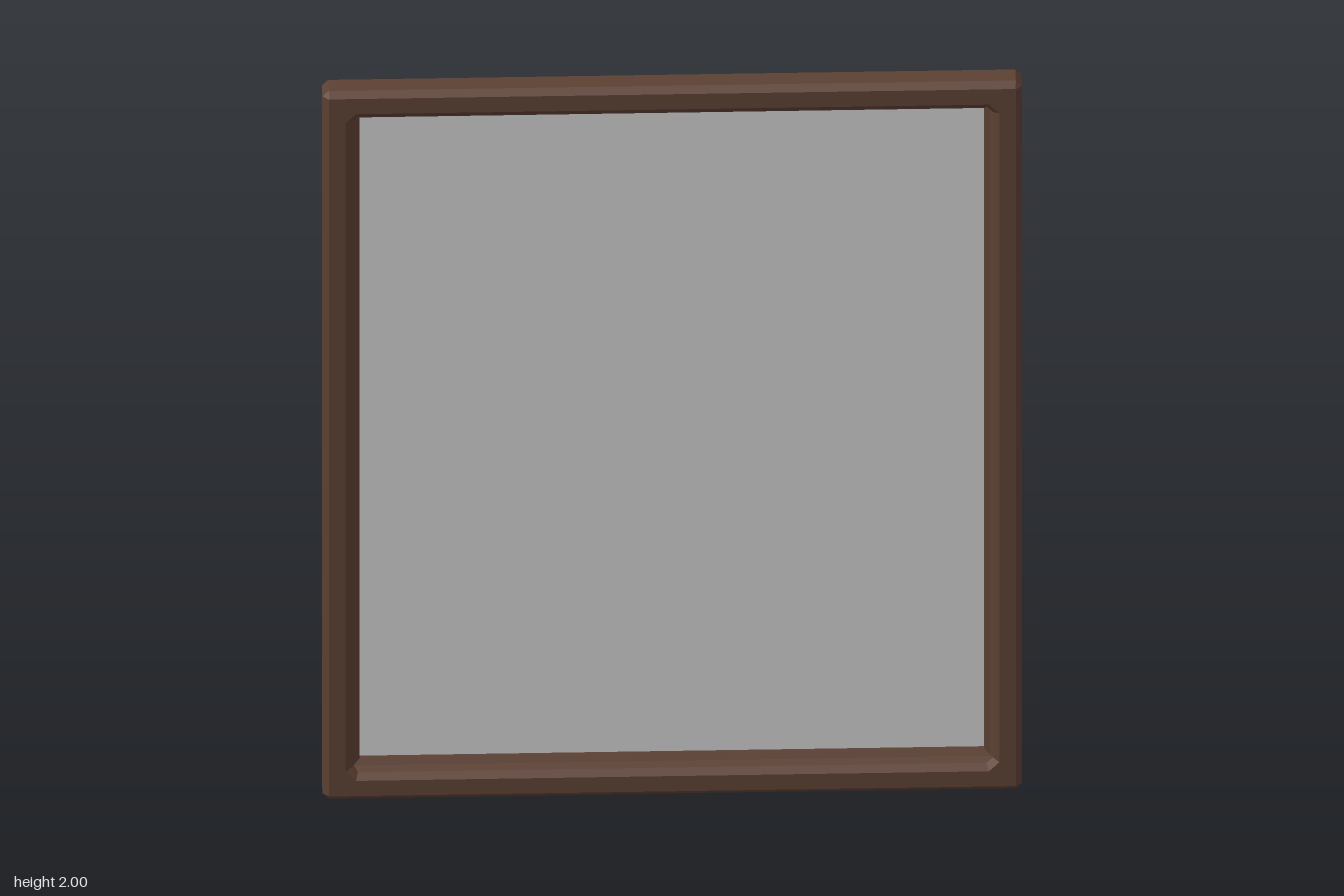
import * as THREE from 'three';

// Rectangle with clipped corners, counter-clockwise seen from the front
function clippedRect([w, h, c, z]) {
  return [
    [w, -h + c], [w, h - c], [w - c, h], [-w + c, h],
    [-w, h - c], [-w, -h + c], [-w + c, -h], [w - c, -h],
  ].map(([x, y]) => [x, y + 1, z]);
}

// Skin a series of clipped rectangles, closing the first with a flat panel
function skinRings(sections) {
  const rings = sections.map(clippedRect);
  const pos = [];
  const tri = (a, b, c) => pos.push(...a, ...b, ...c);
  for (let i = 0; i < rings.length - 1; i++) {
    for (let j = 0; j < 8; j++) {
      const k = (j + 1) % 8;
      tri(rings[i][j], rings[i][k], rings[i + 1][k]);
      tri(rings[i][j], rings[i + 1][k], rings[i + 1][j]);
    }
  }
  for (let j = 1; j < 7; j++) tri(rings[0][0], rings[0][j + 1], rings[0][j]);
  const geo = new THREE.BufferGeometry();
  geo.setAttribute('position', new THREE.Float32BufferAttribute(pos, 3));
  geo.computeVertexNormals();
  return geo;
}

export function createModel() {
  const group = new THREE.Group();
  const wood = new THREE.MeshStandardMaterial({ color: 0x5c4033, flatShading: true });
  const grey = new THREE.MeshStandardMaterial({ color: 0xcccccc });

  // Frame: half width, half height, corner clip, z, from the back to the recess
  const frame = new THREE.Mesh(skinRings([
    [0.825, 0.985, 0.001, -0.04],
    [0.84, 1.0, 0.015, -0.025],
    [0.84, 1.0, 0.015, 0.025],
    [0.825, 0.985, 0.001, 0.04],
    [0.785, 0.942, 0.025, 0.04],
    [0.77, 0.927, 0.015, 0.025],
    [0.765, 0.92, 0.001, 0.005],
    [0.75, 0.905, 0.001, -0.005],
    [0.75, 0.905, 0.001, -0.015],
  ]), wood);
  frame.name = 'frame';
  group.add(frame);

  // Flat pane set into the recess
  const pane = new THREE.Mesh(new THREE.PlaneGeometry(1.5, 1.81), grey);
  pane.name = 'pane';
  pane.position.set(0, 1, -0.015);
  group.add(pane);

  return group;
}
